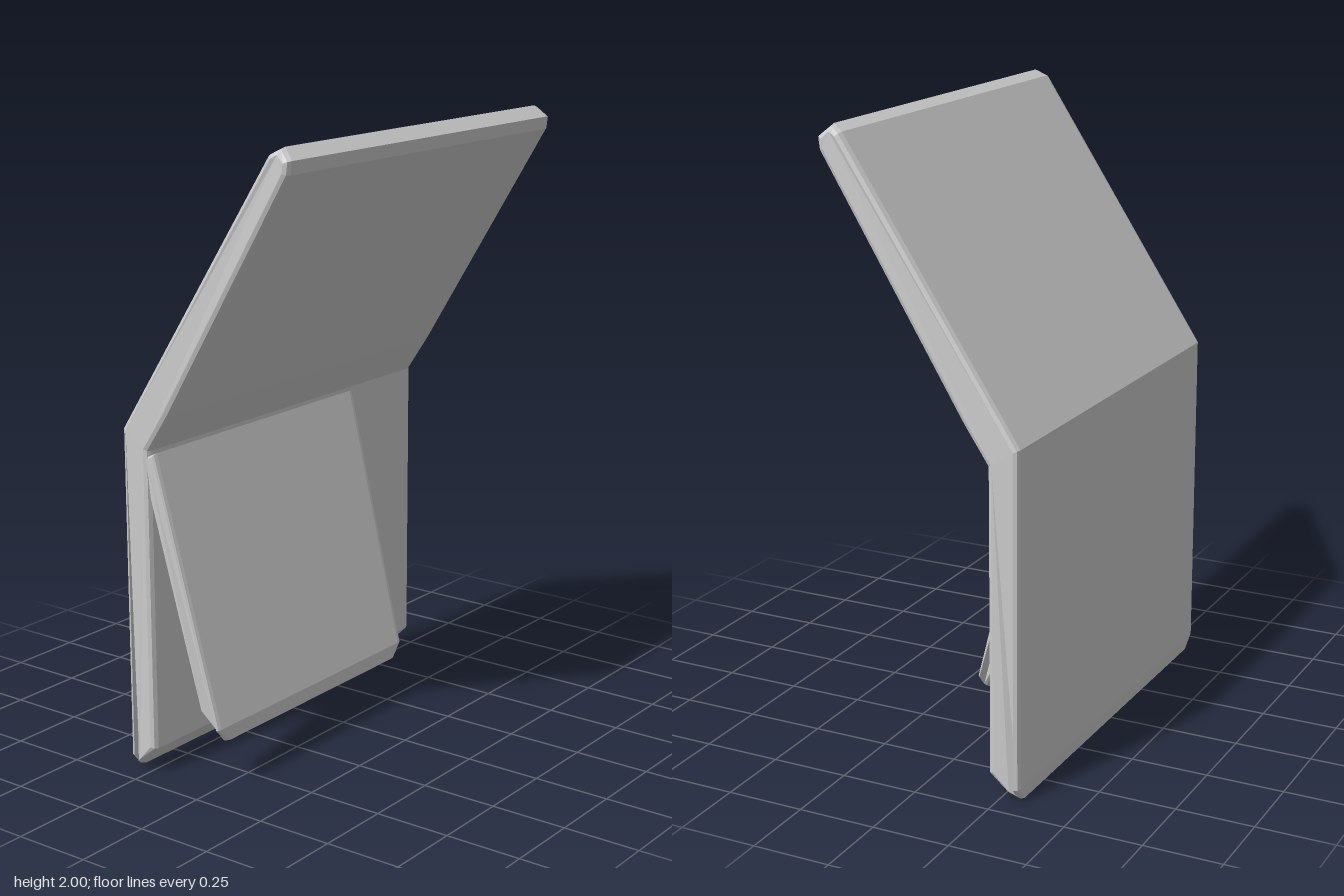
import * as THREE from 'three';

// Extrudes a side profile of [z, y] points along x, with bevelled side edges.
// inset(y) pulls the sides inwards at a given height.
function slab(name, profile, width, bevelDepth, bevelSize, inset) {
  const shape = new THREE.Shape(profile.map(([z, y]) => new THREE.Vector2(z, y)));
  const geometry = new THREE.ExtrudeGeometry(shape, {
    depth: width - 2 * bevelDepth,
    bevelEnabled: true,
    bevelThickness: bevelDepth,
    bevelSize,
    bevelOffset: -bevelSize,
    bevelSegments: 2,
  });
  geometry.translate(0, 0, bevelDepth - width / 2);
  geometry.rotateY(-Math.PI / 2);
  const p = geometry.attributes.position;
  for (let i = 0; i < p.count; i++) {
    const x = p.getX(i);
    p.setX(i, x - Math.sign(x) * inset(p.getY(i)));
  }
  geometry.computeVertexNormals();
  const mesh = new THREE.Mesh(geometry, new THREE.MeshStandardMaterial({ color: 0xcccccc }));
  mesh.name = name;
  return mesh;
}

export function createModel() {
  const group = new THREE.Group();
  group.name = 'foldedPanel';

  // Upright back panel with its upper half folded forwards
  const panel = [
    [-0.22, 0.085], [-0.275, 0.025], [-0.3, 0.005], [-0.315, 0], [-0.32, 0.045],
    [-0.32, 1.11], [0.25, 1.98], [0.285, 2], [0.323, 1.965], [0.318, 1.925],
    [-0.14, 1.17], [-0.22, 1.05],
  ].reverse();
  group.add(slab('backPanel', panel, 1.384, 0.02, 0.016,
    (y) => Math.max(0, 0.045 - y) * 0.8 + Math.max(0, y - 1.975) * 0.8));

  // Narrower flap leaning out from the fold, with clipped lower corners
  const flap = [
    [-0.2, 1.045], [0.02, 0.2], [0.022, 0.155], [0.004, 0.145],
    [-0.05, 0.25], [-0.222, 0.9], [-0.235, 1.03],
  ].reverse();
  const leg = slab('frontFlap', flap, 1.01, 0.018, 0.007,
    (y) => (1.04 - y) * 0.024 + Math.max(0, 0.2 - y) * 0.9);
  leg.position.x = -0.183;
  group.add(leg);

  return group;
}
